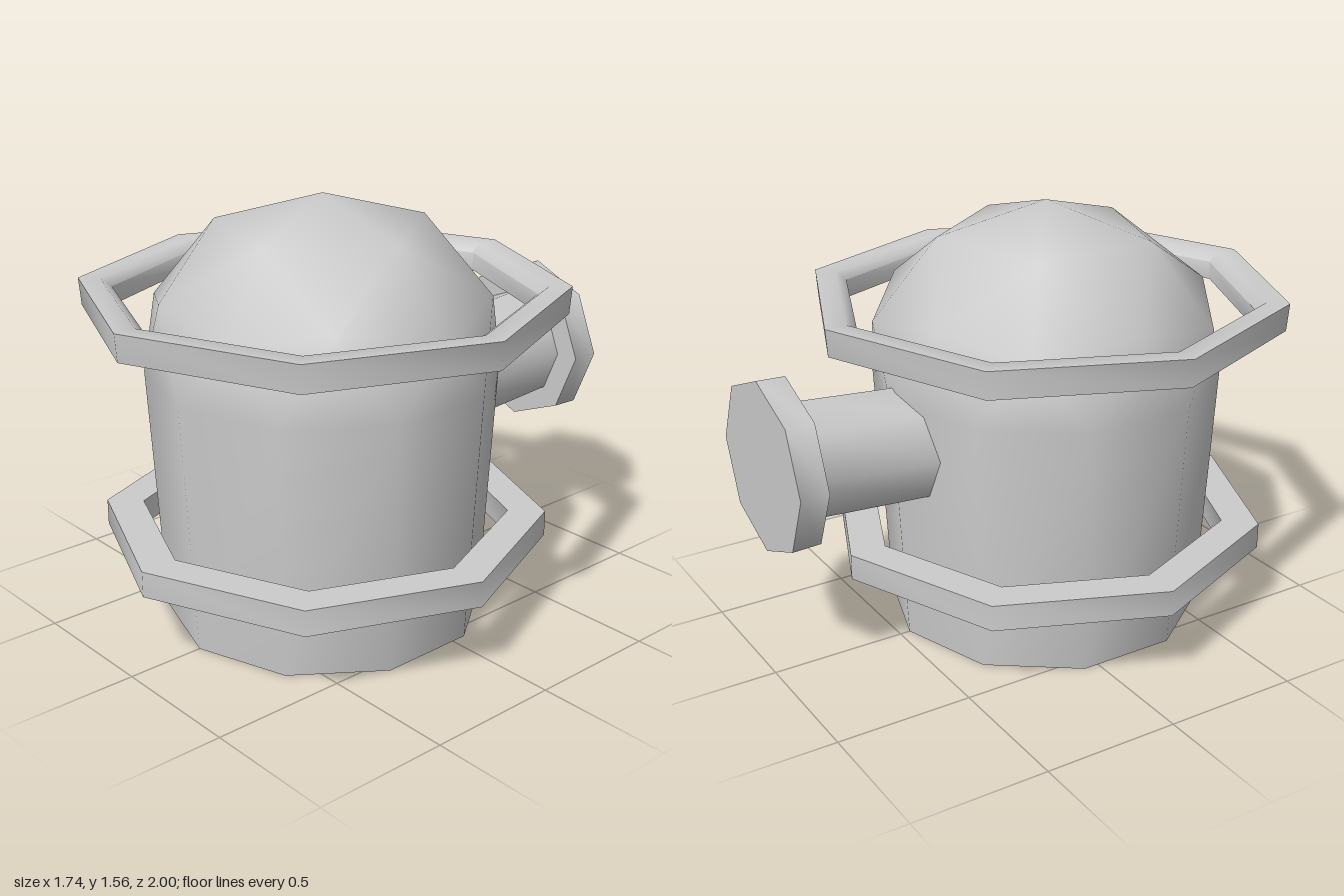
import * as THREE from 'three';
import { toCreasedNormals } from 'three/addons/utils/BufferGeometryUtils.js';

const material = new THREE.MeshStandardMaterial({ color: 0xcccccc });
const AXIS_Z = 0.125; // the barrel stands slightly forward, the pipe sticks out behind

function part(name, geometry, crease = 0.9) {
  const mesh = new THREE.Mesh(toCreasedNormals(geometry, crease), material);
  mesh.name = name;
  return mesh;
}

// Ring of count points, with radius and height given per index
function ring(count, start, radius, height) {
  return Array.from({ length: count }, (_, i) => {
    const a = start + (i * Math.PI * 2) / count;
    return new THREE.Vector3(radius(i) * Math.cos(a), height(i), radius(i) * Math.sin(a));
  });
}

// Ten-sided tapered barrel, closing into a faceted dome of 10, then 5, then 1 points
function barrelGeometry() {
  const step = Math.PI / 10;
  const foot = ring(10, step, () => 0.587, () => 0);
  const rim = ring(10, step, () => 0.637, () => 0.93);
  const shoulder = ring(10, 0, (i) => (i % 2 ? 0.6 : 0.628), (i) => (i % 2 ? 1.23 : 1.16));
  const crown = ring(5, 0, () => 0.392, () => 1.45);
  const apex = new THREE.Vector3(0, 1.56, 0);
  const centre = new THREE.Vector3(0, 0, 0);

  const points = [];
  for (let i = 0; i < 10; i++) {
    const j = (i + 1) % 10;
    const h = (i + 9) % 10;
    points.push(centre, foot[i], foot[j]);
    points.push(foot[j], foot[i], rim[i], foot[j], rim[i], rim[j]);
    points.push(rim[i], rim[h], shoulder[i], rim[i], shoulder[i], shoulder[j]);
  }
  for (let k = 0; k < 5; k++) {
    const n = (k + 1) % 5;
    const mid = shoulder[2 * k + 1];
    points.push(mid, shoulder[2 * k], crown[k]);
    points.push(shoulder[(2 * k + 2) % 10], mid, crown[n]);
    points.push(mid, crown[k], crown[n]);
    points.push(crown[n], crown[k], apex);
  }
  return new THREE.BufferGeometry().setFromPoints(points);
}

// Eight-sided hoop turned from a closed section, listed counter-clockwise
function hoop(name, section) {
  const profile = [...section, section[0]].map(([r, y]) => new THREE.Vector2(r, y));
  return part(name, new THREE.LatheGeometry(profile, 8), 1.0);
}

// Eight-sided cylinder along z, rear end first
function zCylinder(rearRadius, frontRadius, length) {
  return new THREE.CylinderGeometry(frontRadius, rearRadius, length, 8).rotateX(Math.PI / 2);
}

export function createModel() {
  const model = new THREE.Group();
  model.name = 'hydrant';

  // Barrel with its two hoops
  const barrel = new THREE.Group();
  barrel.name = 'barrelWithHoops';
  barrel.position.z = AXIS_Z;
  barrel.add(
    part('barrel', barrelGeometry()),
    hoop('upperHoop', [[0.8, 1.125], [0.862, 1.14], [0.87, 1.24], [0.79, 1.24], [0.75, 1.21], [0.755, 1.14]]),
    hoop('lowerHoop', [[0.675, 0.285], [0.812, 0.285], [0.812, 0.38], [0.675, 0.38]]),
  );
  model.add(barrel);

  // Outlet pipe, rising slightly towards the back
  const pipe = part('outletPipe', zCylinder(0.216, 0.212, 0.6));
  pipe.position.set(0, 0.776, -0.64);
  pipe.rotation.x = 0.07;
  model.add(pipe);

  // Outlet flange
  const flange = part('outletFlange', zCylinder(0.312, 0.308, 0.105));
  flange.position.set(0, 0.797, -0.9475);
  model.add(flange);

  return model;
}
